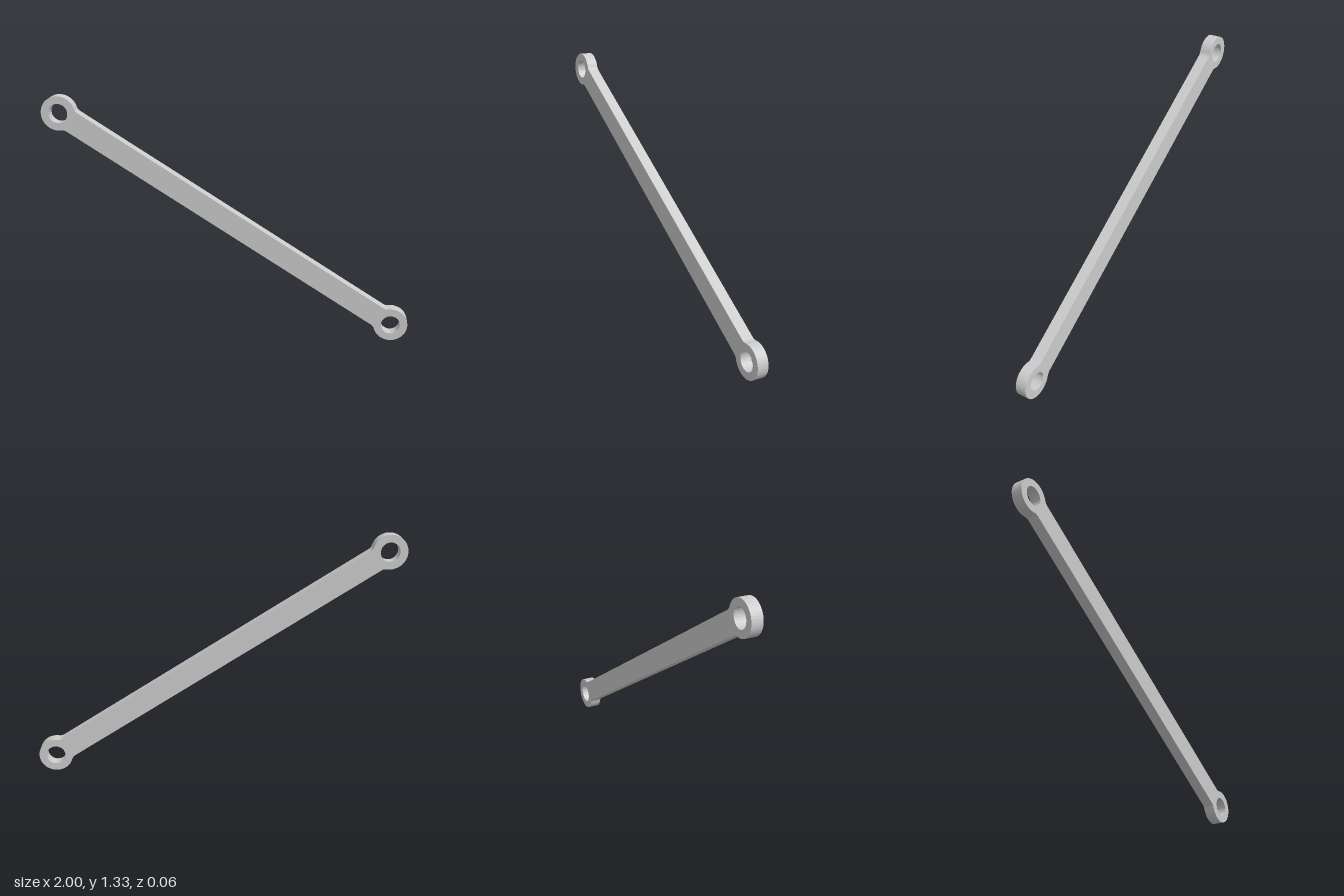
import * as THREE from 'three';

// Flat link bar with a pierced round eye at each end
export function createModel() {
  const eyeX = 0.907, lowY = 0.093, highY = 1.24;
  const eyeR = 0.093, holeR = 0.052, halfWidth = 0.06, filletR = 0.04, thickness = 0.062;
  const halfLength = Math.hypot(2 * eyeX, highY - lowY) / 2;

  // Fillet centres touch both the bar edge and the eye
  const h = halfWidth + filletR;
  const d = Math.sqrt((eyeR + filletR) ** 2 - h * h);
  const a = Math.atan2(h, -d);

  // Outline: fillet, eye, fillet, repeated half a turn round
  const shape = new THREE.Shape();
  for (const turn of [0, Math.PI]) {
    const s = turn ? -1 : 1;
    const arc = (x, y, r, from, to, clockwise) =>
      shape.absarc(s * x, s * y, r, from + turn, to + turn, clockwise);
    arc(halfLength - d, -h, filletR, Math.PI / 2, Math.PI - a, true);
    arc(halfLength, 0, eyeR, -a, a, false);
    arc(halfLength - d, h, filletR, a - Math.PI, -Math.PI / 2, true);
    shape.holes.push(new THREE.Path().absarc(s * halfLength, 0, holeR, 0, Math.PI * 2, true));
  }

  const geometry = new THREE.ExtrudeGeometry(shape, {
    depth: thickness, bevelEnabled: false, curveSegments: 14,
  });
  geometry.translate(0, 0, -thickness / 2);

  const link = new THREE.Mesh(geometry, new THREE.MeshStandardMaterial({ color: 0xcccccc }));
  link.name = 'linkBar';
  link.rotation.z = Math.atan2(lowY - highY, 2 * eyeX);
  link.position.y = (lowY + highY) / 2;

  const group = new THREE.Group();
  group.name = 'link';
  group.add(link);
  return group;
}
